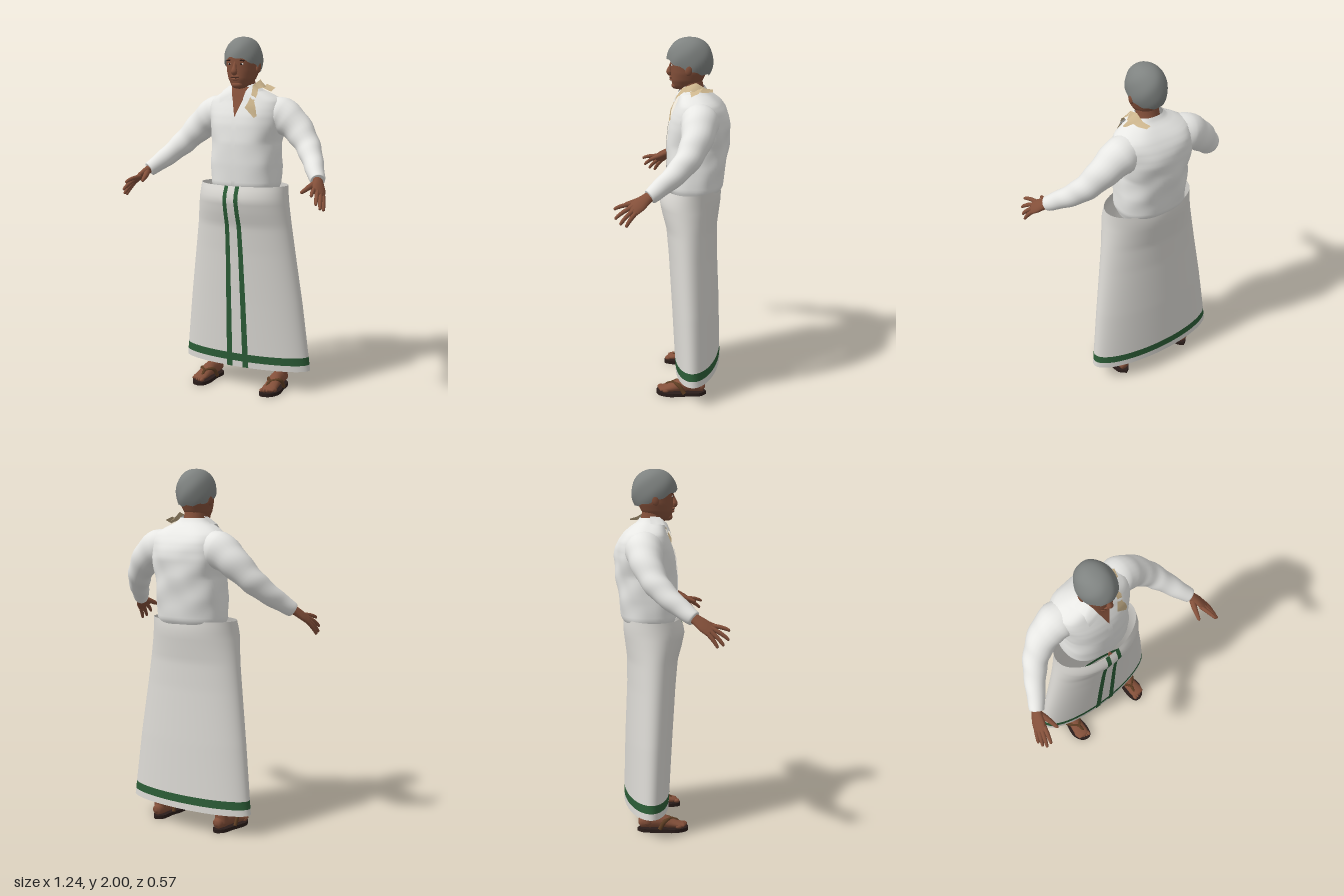
import * as THREE from 'three';
import { mergeVertices } from 'three/addons/utils/BufferGeometryUtils.js';
import { ParametricGeometry } from 'three/addons/geometries/ParametricGeometry.js';

const mat = (name, color, side = THREE.FrontSide) => {
  const m = new THREE.MeshStandardMaterial({ color, side });
  m.name = name;
  return m;
};
const V = (p) => new THREE.Vector3(p[0], p[1], p[2]);

// Smooth surface from a rule (u, v) -> [x, y, z]; the outside is du x dv.
function sheet(fn, nu, nv) {
  const g = new ParametricGeometry((u, v, t) => t.set(...fn(u, v)), nu, nv);
  g.deleteAttribute('uv');
  g.deleteAttribute('normal');
  const m = mergeVertices(g, 1e-5);
  m.computeVertexNormals();
  return m;
}

// Look up a ring [y, halfWidth, zFront, zBack] at any height.
function ringAt(rings, y) {
  let i = 0;
  while (i < rings.length - 2 && y > rings[i + 1][0]) i++;
  const k = THREE.MathUtils.clamp((y - rings[i][0]) / (rings[i + 1][0] - rings[i][0]), 0, 1);
  return rings[i].map((n, j) => n + (rings[i + 1][j] - n) * k);
}
const pow = (n, p) => Math.sign(n) * Math.abs(n) ** p;

// Point on a stack of rings; angle 0 faces the front.
function onRings(rings, a, y, p = 1, grow = 0) {
  const [, rx, zf, zb] = ringAt(rings, y);
  return [(rx + grow) * pow(Math.sin(a), p), y, (zf + zb) / 2 + ((zf - zb) / 2 + grow) * pow(Math.cos(a), p)];
}

// Round limb through rows [x, y, z, radius, optional flat radius].
function limb(rows, sides = 14, steps = 4, ripple = 0, ref = [0, 0, 1]) {
  const curve = new THREE.CatmullRomCurve3(rows.map(V));
  const n = rows.length - 1;
  return sheet((u, v) => {
    const a = u * Math.PI * 2, i = Math.min(n - 1, Math.floor(v * n)), k = v * n - i;
    const r = (j) => rows[i][j] ?? rows[i][3], s = (j) => rows[i + 1][j] ?? rows[i + 1][3];
    const w = 1 + ripple * Math.sin(v * 38 + 2 * Math.sin(a)) * Math.sin(v * Math.PI);
    const t = curve.getTangent(v), side = new THREE.Vector3().crossVectors(t, V(ref)).normalize();
    const up = new THREE.Vector3().crossVectors(t, side);
    return curve.getPoint(v)
      .addScaledVector(side, Math.cos(a) * w * (r(3) + (s(3) - r(3)) * k))
      .addScaledVector(up, Math.sin(a) * w * (r(4) + (s(4) - r(4)) * k)).toArray();
  }, sides, n * steps);
}

// Strip of cloth between two rails of points.
function ribbon(left, right) {
  const n = left.length - 1;
  return sheet((u, v) => {
    const i = Math.min(n - 1, Math.floor(v * n)), k = v * n - i;
    return V(left[i]).lerp(V(left[i + 1]), k).lerp(V(right[i]).lerp(V(right[i + 1]), k), u).toArray();
  }, 2, n * 2);
}

const SHIRT = [[1.13, .18, .03, -.21], [1.18, .2, .06, -.245], [1.3, .203, .066, -.262], [1.42, .195, .066, -.276],
  [1.52, .215, .055, -.282], [1.57, .225, .042, -.273], [1.61, .225, .026, -.258], [1.65, .212, .008, -.23],
  [1.685, .155, -.003, -.19], [1.71, .1, -.012, -.155], [1.735, .078, -.02, -.14]];
const SKIRT = [[.12, .4, .015, -.235], [.5, .355, .037, -.226], [.8, .313, .056, -.214], [.95, .292, .07, -.214],
  [1.03, .281, .093, -.224], [1.1, .272, .108, -.233], [1.14, .268, .1, -.234], [1.18, .265, .082, -.23]];
const HEAD = [[1.712, .001, -.02, -.022], [1.718, .03, .018, -.06], [1.735, .05, .034, -.1], [1.77, .072, .043, -.13],
  [1.81, .085, .044, -.15], [1.86, .091, .046, -.16], [1.91, .09, .047, -.16], [1.96, .06, 0, -.12]];

export function createModel() {
  const model = new THREE.Group();
  model.name = 'standingFigure';
  const D = THREE.DoubleSide;
  const M = {
    shirt: mat('shirtWhite', 0xe9e9e6, D), skirt: mat('skirtWhite', 0xdad8d3, D), green: mat('borderGreen', 0x2b5c36, D),
    skin: mat('skin', 0x84503a), hair: mat('greyHair', 0x7f8381, D), scarf: mat('scarfTan', 0xcbb48c, D),
    sole: mat('soleDark', 0x2a1d1a), strap: mat('strapBrown', 0x5c3c22), dark: mat('featureDark', 0x2e1b15),
    eye: mat('eyeWhite', 0xd8d2cc),
  };
  const add = (name, geo, m, parent = model) => {
    const mesh = new THREE.Mesh(geo, m);
    mesh.name = name;
    parent.add(mesh);
    return mesh;
  };
  const ball = (name, m, p, s, parent = model) => {
    const b = add(name, new THREE.SphereGeometry(1, 16, 12), m, parent);
    b.position.set(...p);
    b.scale.set(...s);
    return b;
  };

  // Wrapped skirt: angular and vertical bands, green on the stripes and border
  const TAU = Math.PI * 2;
  const cuts = [[-.175, -.083, 1], [-.083, .083, 0], [.083, .175, 1], [.175, TAU - .175, 0]];
  for (const [y0, y1, band] of [[.12, .155, 0], [.155, .2, 1], [.2, 1.18, 0]])
    for (const [a0, a1, stripe] of cuts) {
      const green = band || stripe;
      add(green ? 'skirtBorder' : 'skirtCloth', sheet((u, v) => onRings(SKIRT, a0 + (a1 - a0) * u, y0 + (y1 - y0) * v),
        a1 - a0 > 1 ? 60 : 3, y1 > 1 ? 48 : 2), green ? M.green : M.skirt);
    }

  // Shirt body with soft folds
  add('shirtBody', sheet((u, v) => {
    const a = u * TAU, y = 1.13 + .605 * v;
    const fold = (.004 * Math.sin(a * 7 + y * 16) + .003 * Math.sin(a * 4 - y * 35)) * Math.sin(v * Math.PI);
    return onRings(SHIRT, a, y, .82, Math.abs(Math.sin(a / 2)) * fold);
  }, 72, 44), M.shirt);

  // Open neckline and button placket, laid on the shirt front
  const onFront = (x, y, lift) => {
    const a = Math.asin(pow(x / ringAt(SHIRT, y)[1], 1 / .82));
    const p = onRings(SHIRT, a, y, .82);
    return [p[0], y, p[2] + lift];
  };
  add('openNeckline', sheet((u, v) => onFront((u * 2 - 1) * .055 * v, 1.56 + .165 * v, .006), 8, 10), M.skin);
  add('placket', sheet((u, v) => onFront(-.014 + .028 * u, 1.16 + .4 * v, .006), 3, 16), M.shirt);

  // Neck and head
  add('neck', limb([[0, 1.6, -.09, .075], [0, 1.68, -.08, .066], [0, 1.74, -.07, .061], [0, 1.81, -.06, .06]], 20), M.skin);
  add('head', sheet((u, v) => onRings(HEAD, u * TAU, 1.712 + .248 * v, .93), 36, 30), M.skin);
  add('nose', limb([[0, 1.865, .038, .008], [0, 1.835, .048, .011], [0, 1.812, .053, .018], [0, 1.8, .047, .014], [0, 1.797, .04, 0]], 12), M.skin);
  ball('upperLip', M.skin, [0, 1.784, .043], [.027, .007, .011]);
  ball('lowerLip', M.skin, [0, 1.769, .042], [.023, .007, .01]);
  ball('mouthLine', M.dark, [0, 1.777, .045], [.026, .0025, .007]);
  ball('chin', M.skin, [0, 1.738, .018], [.035, .02, .024]);

  // Hair cap whose lower edge drops from the fringe to the nape
  add('hair', sheet((u, v) => {
    const a = u * TAU, back = (1 - Math.cos(a)) / 2;
    const edge = 1.45 + .72 * back + .1 * Math.sin(a) ** 2 + .04 * Math.sin(a * 9);
    const th = (1 - v) * edge, s = Math.sin(th) ** .85;
    const lump = 1 + .012 * Math.sin(a * 5 + th * 6) * s;
    return [.103 * s * Math.sin(a) * lump, 1.872 + .128 * Math.cos(th), -.059 + .127 * s * Math.cos(a) * lump];
  }, 48, 24), M.hair);

  // Long-tailed scarf over the left shoulder
  add('scarfTail', ribbon(
    [[.118, 1.56, .045], [.06, 1.615, .042], [.075, 1.65, .025], [.085, 1.69, .008], [.075, 1.735, -.025]],
    [[.13, 1.57, .035], [.122, 1.615, .032], [.108, 1.65, .022], [.118, 1.69, 0], [.1, 1.72, -.04]]), M.scarf);
  add('scarfKnot', ribbon(
    [[.075, 1.735, -.025], [.085, 1.765, -.1], [.08, 1.735, -.15], [.06, 1.725, -.19]],
    [[.1, 1.715, -.04], [.13, 1.725, -.075], [.11, 1.715, -.15], [.085, 1.715, -.19]]), M.scarf);
  add('scarfEnd', ribbon([[.105, 1.74, -.14], [.168, 1.72, -.12]], [[.115, 1.72, -.07], [.16, 1.7, -.08]]), M.scarf);

  // Paired parts, placed for each side
  for (const s of [1, -1]) {
    const m = (rows) => rows.map(([x, ...r]) => [x * s, ...r]);
    const name = (n) => (s > 0 ? 'left' : 'right') + n;

    // Face details
    ball(name('Eye'), M.eye, [.036 * s, 1.852, .034], [.013, .006, .008]);
    ball(name('Pupil'), M.dark, [.036 * s, 1.852, .039], [.006, .006, .005]);
    ball(name('Brow'), M.dark, [.038 * s, 1.872, .035], [.021, .004, .009]).rotation.z = -.12 * s;
    ball(name('Ear'), M.skin, [.092 * s, 1.835, -.062], [.012, .033, .021]).rotation.x = -.2;

    // Collar flap
    add(name('Collar'), ribbon(
      m([[.072, 1.745, -.09], [.062, 1.74, -.035], [.048, 1.705, .006], [.04, 1.665, .024]]),
      m([[.115, 1.705, -.09], [.11, 1.7, -.015], [.112, 1.665, .015], [.108, 1.635, .026]])), M.shirt);

    // Sleeve
    add(name('Sleeve'), limb(m([[.1, 1.575, -.12, .085], [.2, 1.567, -.13, .104], [.28, 1.52, -.127, .09], [.36, 1.44, -.1, .074],
      [.42, 1.37, -.05, .064], [.48, 1.3, .03, .052], [.53, 1.247, .1, .04], [.532, 1.245, .103, .02]]), 24, 7, .035), M.shirt);

    // Hand with a flat palm, four fingers and a thumb
    const hand = new THREE.Group();
    hand.name = name('Hand');
    model.add(hand);
    const part = (n, rows, ref) => add(n, limb(m(rows), 12, 4, 0, ref), M.skin, hand);
    part('palm', [[.52, 1.258, .085, .026], [.54, 1.238, .115, .022, .032], [.56, 1.212, .15, .018, .042],
      [.577, 1.185, .185, .014, .04], [.584, 1.175, .197, 0]], [-.5 * s, .45, .5]);
    [[[.55, 1.208, .195], [.575, 1.188, .282]], [[.57, 1.194, .196], [.598, 1.142, .274]],
      [[.584, 1.178, .186], [.61, 1.115, .246]], [[.594, 1.165, .172], [.616, 1.105, .214]]].forEach(([k, t], i) => {
      const at = (f, r, lift) => [...k.map((c, j) => c + (t[j] - c) * f + (j === 1 ? lift : 0)), r];
      part('finger' + (i + 1), [at(-.2, .012, 0), at(.4, .0115, .006), at(.8, .0095, .004), at(.96, .007, 0), at(1, 0, 0)]);
    });
    part('thumb', [[.533, 1.24, .115, .018], [.515, 1.222, .16, .016], [.503, 1.207, .2, .012], [.495, 1.197, .228, .009], [.492, 1.193, .237, 0]]);

    // Lower leg and foot
    add(name('Leg'), limb(m([[.19, .6, -.11, .06], [.205, .35, -.115, .055], [.215, .18, -.113, .04], [.217, .1, -.113, .038],
      [.218, .05, -.117, .037], [.218, .03, -.117, .02]]), 18), M.skin);
    add(name('Foot'), limb(m([[.213, .045, -.17, 0], [.214, .048, -.16, .026, .028], [.215, .058, -.11, .036, .04], [.218, .06, -.05, .037, .042],
      [.223, .045, .01, .04, .027], [.226, .036, .06, .042, .017], [.228, .033, .085, .036, .012], [.228, .03, .09, 0]]), 18, 4, 0, [0, 1, 0]), M.skin);
    for (let i = 0; i < 5; i++)
      ball(name('Toe'), M.skin, [(.195 + i * .0165) * s, .031, .088 - i * i * .0022], [i ? .009 : .012, .011, .018]);

    // Sandal sole and thong straps
    const outline = new THREE.Shape(new THREE.SplineCurve([[.212, .175], [.177, .14], [.178, .06], [.17, -.03], [.182, -.095], [.215, -.11],
      [.255, -.09], [.277, -.03], [.262, .06], [.25, .14], [.212, .175]].map(([x, y]) => new THREE.Vector2(x * s, y))).getPoints(40));
    const sole = new THREE.ExtrudeGeometry(outline, { depth: .02, bevelEnabled: false });
    sole.rotateX(-Math.PI / 2);
    add(name('SandalSole'), sole, M.sole);
    for (const [x, mx] of [[.172, .184], [.266, .258]])
      add(name('SandalStrap'), limb(m([[x, .02, -.055, .009, .012], [mx, .067, -.022, .009, .012], [.215, .064, .022, .008, .011],
        [.211, .05, .055, .007], [.211, .02, .066, .006]]), 10, 5), M.strap);
  }
  return model;
}
